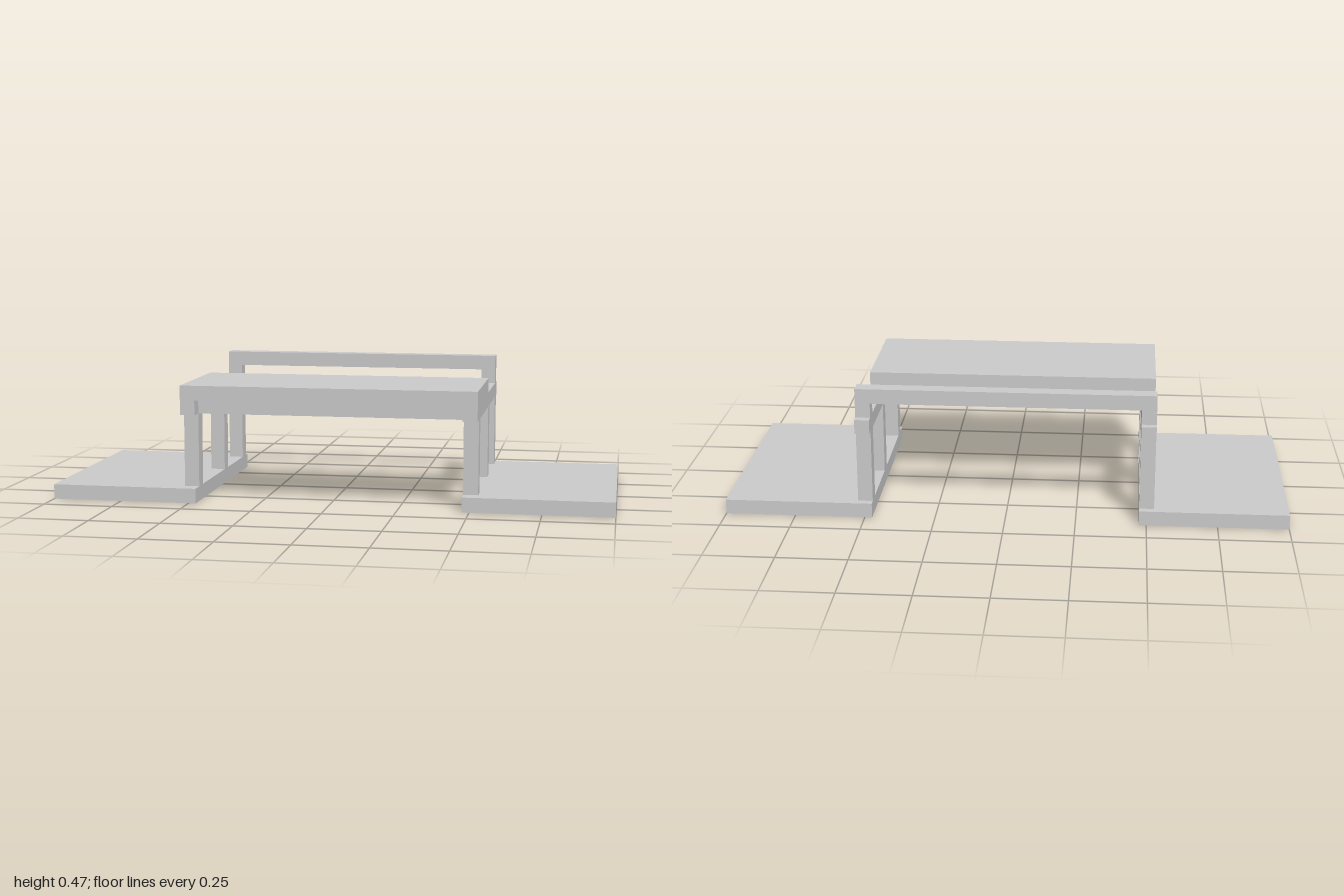
import * as THREE from 'three';

const U = 1 / 19; // timber thickness; all sizes below are in this unit

export function createModel() {
  const model = new THREE.Group();
  model.name = 'picnicFrame';
  const material = new THREE.MeshStandardMaterial({ color: 0xcccccc, flatShading: true });

  // Box between two corners given in timber units
  const box = (name, [x0, x1], [y0, y1], [z0, z1]) => {
    const geometry = new THREE.BoxGeometry((x1 - x0) * U, (y1 - y0) * U, (z1 - z0) * U);
    const mesh = new THREE.Mesh(geometry, material);
    mesh.name = name;
    mesh.position.set((x0 + x1) / 2 * U, (y0 + y1) / 2 * U, (z0 + z1) / 2 * U);
    model.add(mesh);
  };

  const depth = [-7.5, 7.5];
  const frontPost = [5.5, 6.5], middlePost = [-1.5, -0.5], backPost = [-7, -6];

  // Mirrored sides: floor platform, three posts, side rail and backrest upright
  for (const [side, post, floor] of [['left', [9, 10], [9, 19]], ['right', [-10, -9], [-19, -9]]]) {
    box(side + 'Platform', floor, [0, 1], depth);
    box(side + 'FrontPost', post, [1, 6], frontPost);
    box(side + 'MiddlePost', post, [1, 6], middlePost);
    box(side + 'BackPost', post, [1, 6], backPost);
    box(side + 'SideRail', post, [6, 7], depth);
    box(side + 'BackUpright', post, [7, 8], backPost);
  }

  // Cross rails between the side rails
  box('frontCrossRail', [-9, 9], [6, 7], frontPost);
  box('middleCrossRail', [-9, 9], [6, 7], middlePost);

  // Slab over the front half and raised rail at the back
  box('topSlab', [-10, 10], [7, 8], [-0.5, 7.5]);
  box('backTopRail', [-10, 10], [8, 9], backPost);

  return model;
}
